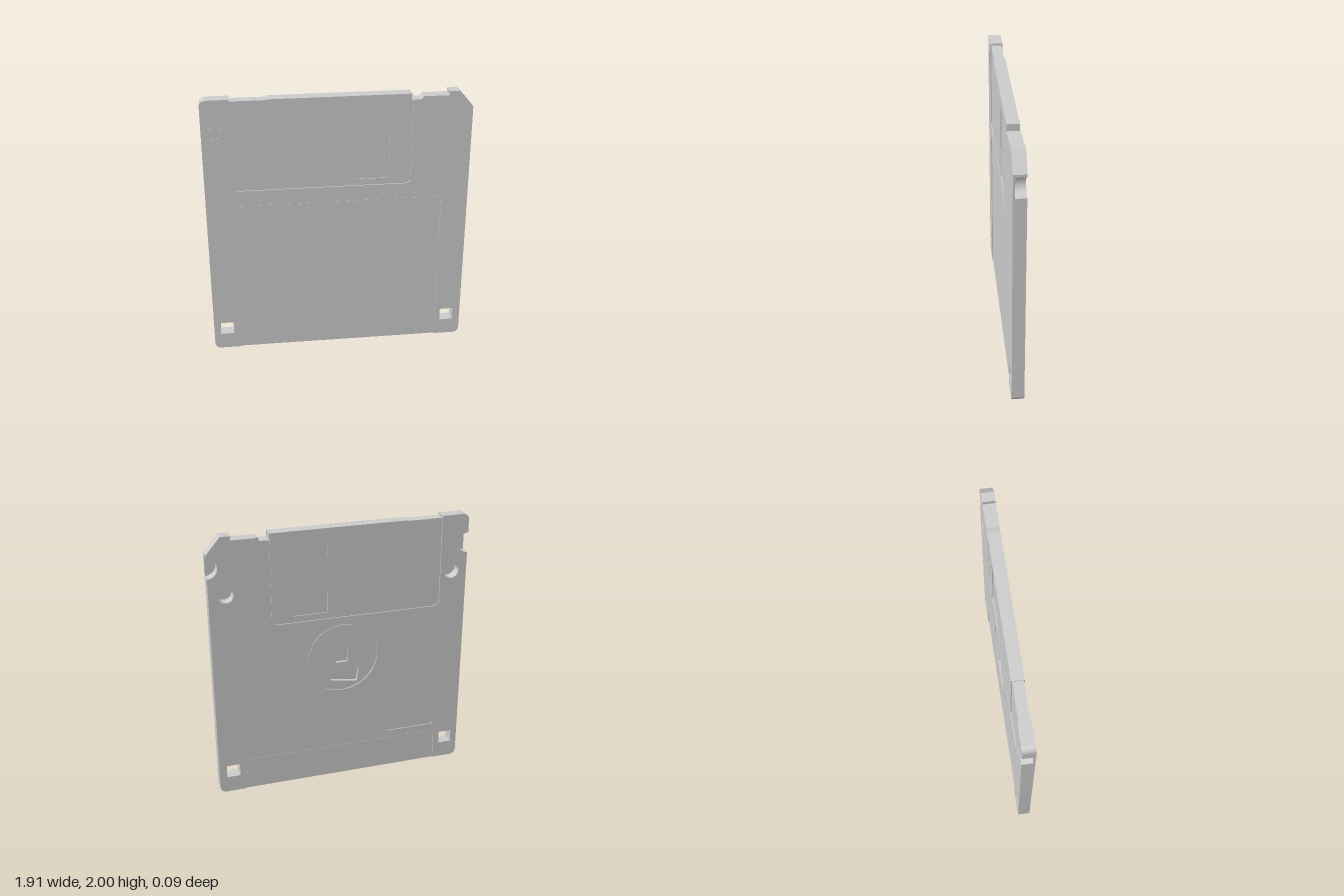
import * as THREE from 'three';
import { toCreasedNormals } from 'three/addons/utils/BufferGeometryUtils.js';

const W = 0.953;                          // half width
const BACK = -0.045, FRONT = 0.045;       // outer faces
const FLOOR = 0.037;                      // depth level of the shallow recesses
const WELL = 0.03;                        // bottom of the deep rear holes
const material = new THREE.MeshStandardMaterial({ color: 0xcccccc });

// Trace a closed polygon of [x, y, cornerRadius] points
function trace(points, path = new THREE.Shape()) {
  const n = points.length;
  const vec = (i) => new THREE.Vector2(points[(i + n) % n][0], points[(i + n) % n][1]);
  points.forEach(([x, y, r = 0], i) => {
    const p = vec(i);
    const a = vec(i - 1).sub(p).setLength(r).add(p);
    const b = vec(i + 1).sub(p).setLength(r).add(p);
    if (i === 0) path.moveTo(a.x, a.y); else path.lineTo(a.x, a.y);
    if (r > 0) path.quadraticCurveTo(x, y, b.x, b.y);
  });
  path.closePath();
  return path;
}

const rectPoints = (x0, x1, y0, y1, r = 0) => [[x0, y0, r], [x1, y0, r], [x1, y1, r], [x0, y1, r]];
const rectHole = (...args) => trace(rectPoints(...args), new THREE.Path());
const circle = (x, y, r, C = THREE.Path) => new C().absarc(x, y, r, 0, Math.PI * 2, false);

// Extrude a shape between two z levels
function slab(name, shape, holes, z0, z1) {
  shape.holes.push(...holes);
  let geometry = new THREE.ExtrudeGeometry(shape, { depth: z1 - z0, bevelEnabled: false, curveSegments: 12 });
  geometry.translate(0, 0, z0);
  geometry = toCreasedNormals(geometry, Math.PI / 6);
  const mesh = new THREE.Mesh(geometry, material);
  mesh.name = name;
  return mesh;
}

// Half-round grip notch in a side edge, listed in travel order
function sideNotch(side) {
  const pts = [];
  for (let i = 0; i <= 16; i++) {
    const a = (i / 16) * Math.PI;
    pts.push([side * (W - 0.075 * Math.sin(a)), 1.785 - side * 0.075 * Math.cos(a)]);
  }
  return pts;
}

// Case outline; labelTop cuts a label recess, shutterFloor sets the bottom of the shutter cut
function caseOutline({ labelTop = 0, shutterFloor, notched = false }) {
  const label = labelTop
    ? [[-0.758, 0], [-0.758, labelTop, 0.035], [0.758, labelTop, 0.035], [0.758, 0]] : [];
  const r = shutterFloor < 1.9 ? 0.045 : 0;
  return trace([
    [-W, 0, 0.05], ...label, [W, 0, 0.05],
    ...(notched ? sideNotch(1) : []),
    [W, 1.88], [0.85, 2], [0.78, 2], [0.78, 1.97], [0.6, 1.97], [0.58, 1.947], [0.525, 1.947],
    [0.525, shutterFloor < 1.9 ? shutterFloor : 1.94, r],
    ...(shutterFloor < 1.9 ? [] : [[0.51, 1.94], [0.51, shutterFloor]]),
    [-0.75, shutterFloor, r], [-0.75, 2], [-W, 2, 0.05],
    ...(notched ? sideNotch(-1) : []),
  ]);
}

// Square through-holes near the bottom corners
const cornerHoles = () => [rectHole(-0.905, -0.805, 0.125, 0.222), rectHole(0.797, 0.897, 0.125, 0.222)];
// Round blind holes near the upper corners
const roundHoles = () => [circle(-0.835, 1.58, 0.058), circle(0.835, 1.58, 0.058)];

function buildCase() {
  const group = new THREE.Group();
  group.name = 'case';
  const arrow = trace([
    [-0.88, 1.72], [-0.836, 1.72], [-0.836, 1.79], [-0.815, 1.79],
    [-0.858, 1.905], [-0.9, 1.79], [-0.88, 1.79],
  ], new THREE.Path());
  const pill = rectHole(-0.745, -0.355, 0.31, 0.36, 0.024);
  group.add(
    slab('frontFace', caseOutline({ labelTop: 1.21, shutterFloor: 1.315 }), [...cornerHoles(), arrow], FLOOR, FRONT),
    slab('frontPlate', caseOutline({ shutterFloor: 1.985 }), cornerHoles(), WELL, FLOOR),
    slab('core', caseOutline({ shutterFloor: 1.985, notched: true }),
      [...cornerHoles(), ...roundHoles(), circle(0, 1, 0.275)], -FLOOR, WELL),
    slab('backFace', caseOutline({ labelTop: 0.26, shutterFloor: 1.315, notched: true }),
      [...cornerHoles(), ...roundHoles(), circle(0, 1, 0.275), pill], BACK, -FLOOR),
  );
  return group;
}

// Thin label panels inside the front and back recesses
function buildLabels() {
  const group = new THREE.Group();
  group.name = 'labels';
  const panel = (top) => trace([[-0.744, 0.003], [0.744, 0.003], [0.744, top, 0.03], [-0.744, top, 0.03]]);
  group.add(
    slab('frontLabel', panel(1.195), [], FLOOR, FLOOR + 0.002),
    slab('backLabel', panel(0.247), [], -FLOOR - 0.002, -FLOOR),
  );
  return group;
}

// Sliding shutter: two windowed plates joined over the top edge
function buildShutter() {
  const group = new THREE.Group();
  group.name = 'shutter';
  const plate = () => trace([[-0.49, 1.325, 0.05], [0.514, 1.325, 0.035], [0.514, 1.992], [-0.49, 1.992]]);
  const windowHole = () => [rectHole(0.105, 0.365, 1.365, 1.9, 0.018)];
  const bridge = new THREE.Mesh(new THREE.BoxGeometry(1.004, 0.007, 2 * FLOOR), material);
  bridge.name = 'shutterTop';
  bridge.position.set(0.012, 1.9885, 0);
  group.add(
    slab('shutterFront', plate(), windowHole(), FLOOR, 0.0435),
    slab('shutterBack', plate(), windowHole(), -0.0435, -FLOOR),
    bridge,
  );
  return group;
}

// Rear drive hub with a square centre hole and a tilted drive slot
function buildHub() {
  const group = new THREE.Group();
  group.name = 'hub';
  const slots = () => {
    const tilt = 0.14;
    const slot = rectPoints(-0.105, 0.105, -0.055, 0.055, 0.012).map(([x, y, r]) => [
      -0.02 + x * Math.cos(tilt) - y * Math.sin(tilt),
      0.855 + x * Math.sin(tilt) + y * Math.cos(tilt), r,
    ]);
    return [rectHole(-0.045, 0.045, 0.955, 1.045), trace(slot, new THREE.Path())];
  };
  group.add(
    slab('hubFloor', circle(0, 1, 0.275, THREE.Shape), [], -0.02, WELL),
    slab('hubRim', circle(0, 1, 0.275, THREE.Shape), slots(), -0.036, -0.02),
    slab('hubPlate', circle(0, 1, 0.252, THREE.Shape), slots(), -0.042, -0.036),
  );
  return group;
}

export function createModel() {
  const model = new THREE.Group();
  model.name = 'floppyDisk';
  model.add(buildCase(), buildLabels(), buildShutter(), buildHub());
  return model;
}
